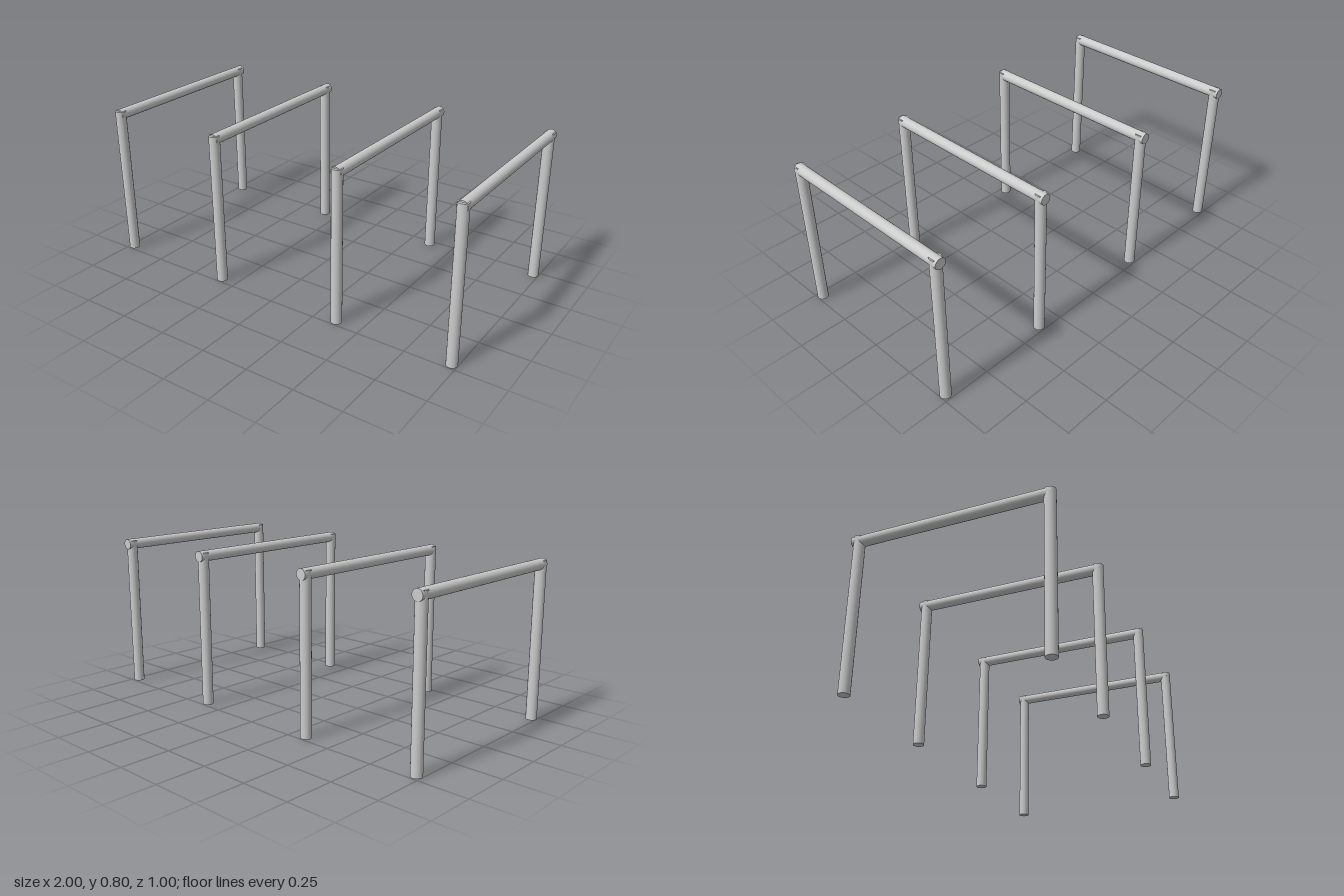
import * as THREE from 'three';

const R = 0.0273;           // tube radius
const POST_HEIGHT = 0.79;
const RAIL_Y = 0.771;

export function createModel() {
  const model = new THREE.Group();
  model.name = 'railFrames';
  const material = new THREE.MeshStandardMaterial({ color: 0xcccccc });

  const postGeometry = new THREE.CylinderGeometry(R, R, POST_HEIGHT, 32);
  postGeometry.translate(0, POST_HEIGHT / 2, 0);

  // The rail stops just short of the front post's face and runs flush at the back
  const railFront = 0.482, railBack = -0.4975;
  const railGeometry = new THREE.CylinderGeometry(R, R, railFront - railBack, 32);
  railGeometry.rotateX(Math.PI / 2);
  railGeometry.translate(0, RAIL_Y, (railFront + railBack) / 2);

  const addPart = (group, name, geometry, z = 0) => {
    const mesh = new THREE.Mesh(geometry, material);
    mesh.name = name;
    mesh.position.z = z;
    group.add(mesh);
  };

  // Four separate frames, unevenly spaced along x
  [-0.9727, -0.338, 0.367, 0.9727].forEach((x, i) => {
    const frame = new THREE.Group();
    frame.name = `frame${i + 1}`;
    frame.position.x = x;
    addPart(frame, 'frontPost', postGeometry, 0.4702);
    addPart(frame, 'backPost', postGeometry, -0.4675);
    addPart(frame, 'topRail', railGeometry);
    model.add(frame);
  });

  return model;
}
